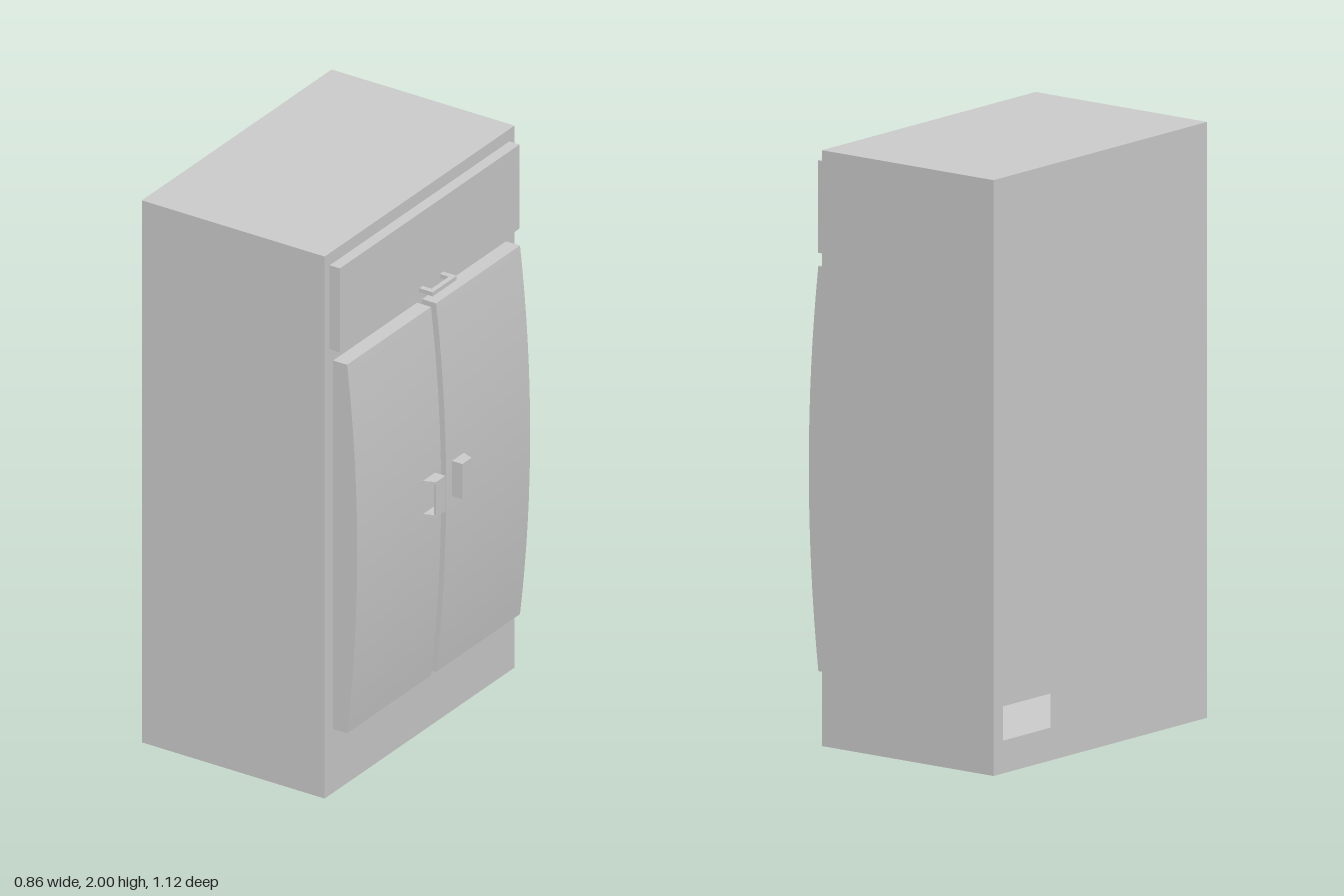
import * as THREE from 'three';
import { toCreasedNormals } from 'three/addons/utils/BufferGeometryUtils.js';

const mat = new THREE.MeshStandardMaterial({ color: 0xcccccc });
const shellMat = new THREE.MeshStandardMaterial({ color: 0xcccccc, side: THREE.DoubleSide });

function add(parent, name, geometry, material = mat) {
  const mesh = new THREE.Mesh(geometry, material);
  mesh.name = name;
  parent.add(mesh);
  return mesh;
}

// Box given by its lower and upper corner
function box(parent, name, [x0, y0, z0], [x1, y1, z1]) {
  const g = new THREE.BoxGeometry(x1 - x0, y1 - y0, z1 - z0);
  g.translate((x0 + x1) / 2, (y0 + y1) / 2, (z0 + z1) / 2);
  return add(parent, name, g);
}

function polygon(points) {
  return new THREE.Shape(points.map(([x, y]) => new THREE.Vector2(x, y)));
}

// Hollow cabinet with a small rectangular opening low in the back panel
function addCabinet(parent) {
  const g = new THREE.BoxGeometry(0.72, 2, 1.12);
  const index = Array.from(g.index.array);
  index.splice(6, 6); // leave out the -x side
  g.setIndex(index);
  g.clearGroups();
  g.translate(-0.07, 1, 0);
  add(parent, 'cabinet', g, shellMat);

  const back = polygon([[-0.56, 0], [0.56, 0], [0.56, 2], [-0.56, 2]]);
  back.holes.push(polygon([[-0.51, 0.11], [-0.51, 0.225], [-0.26, 0.225], [-0.26, 0.11]]));
  const panel = new THREE.ShapeGeometry(back);
  panel.rotateY(-Math.PI / 2).translate(-0.43, 0, 0);
  add(parent, 'backPanel', panel, shellMat);
}

// Door with a bowed front
function addDoor(parent, name, z0, z1) {
  const s = new THREE.Shape();
  s.moveTo(0.29, 0.235);
  s.lineTo(0.345, 0.235);
  s.quadraticCurveTo(0.425, 0.915, 0.345, 1.595);
  s.lineTo(0.29, 1.595);
  s.closePath();
  const g = new THREE.ExtrudeGeometry(s, { depth: z1 - z0, bevelEnabled: false, curveSegments: 16 });
  g.translate(0, 0, z0);
  add(parent, name, toCreasedNormals(g, 0.4));
}

// Pull handle: inner wall, front plate and tapered caps, open to the outside
function addDoorHandle(parent, name, side) {
  const handle = new THREE.Group();
  handle.name = name;
  const span = (a, b) => (side > 0 ? [a, b] : [-b, -a]);
  const [w0, w1] = span(0.05, 0.058);
  box(handle, 'handleWall', [0.375, 0.88, w0], [0.425, 1.01, w1]);
  const [p0, p1] = span(0.05, 0.105);
  box(handle, 'handlePlate', [0.417, 0.88, p0], [0.425, 1.01, p1]);
  for (const y of [0.88, 1.002]) {
    const cap = polygon([[0.375, 0.05], [0.425, 0.05], [0.425, 0.105], [0.385, 0.12], [0.375, 0.12]]
      .map(([x, z]) => [x, -z * side]));
    const g = new THREE.ExtrudeGeometry(cap, { depth: 0.008, bevelEnabled: false });
    g.rotateX(-Math.PI / 2).translate(0, y, 0);
    add(handle, 'handleCap', g);
  }
  parent.add(handle);
}

export function createModel() {
  const model = new THREE.Group();
  model.name = 'cabinetUnit';
  addCabinet(model);

  // Top drawer front and its bar handle
  box(model, 'drawerFront', [0.29, 1.645, -0.53], [0.33, 1.955, 0.53]);
  const bar = new THREE.Group();
  bar.name = 'drawerHandle';
  box(bar, 'handleBar', [0.365, 1.665, -0.08], [0.383, 1.68, 0.062]);
  for (const z of [-0.08, 0.042]) box(bar, 'handleLeg', [0.33, 1.665, z], [0.365, 1.68, z + 0.02]);
  model.add(bar);

  // Pair of doors
  addDoor(model, 'leftDoor', 0.015, 0.51);
  addDoor(model, 'rightDoor', -0.51, -0.015);
  addDoorHandle(model, 'leftDoorHandle', 1);
  addDoorHandle(model, 'rightDoorHandle', -1);
  return model;
}
